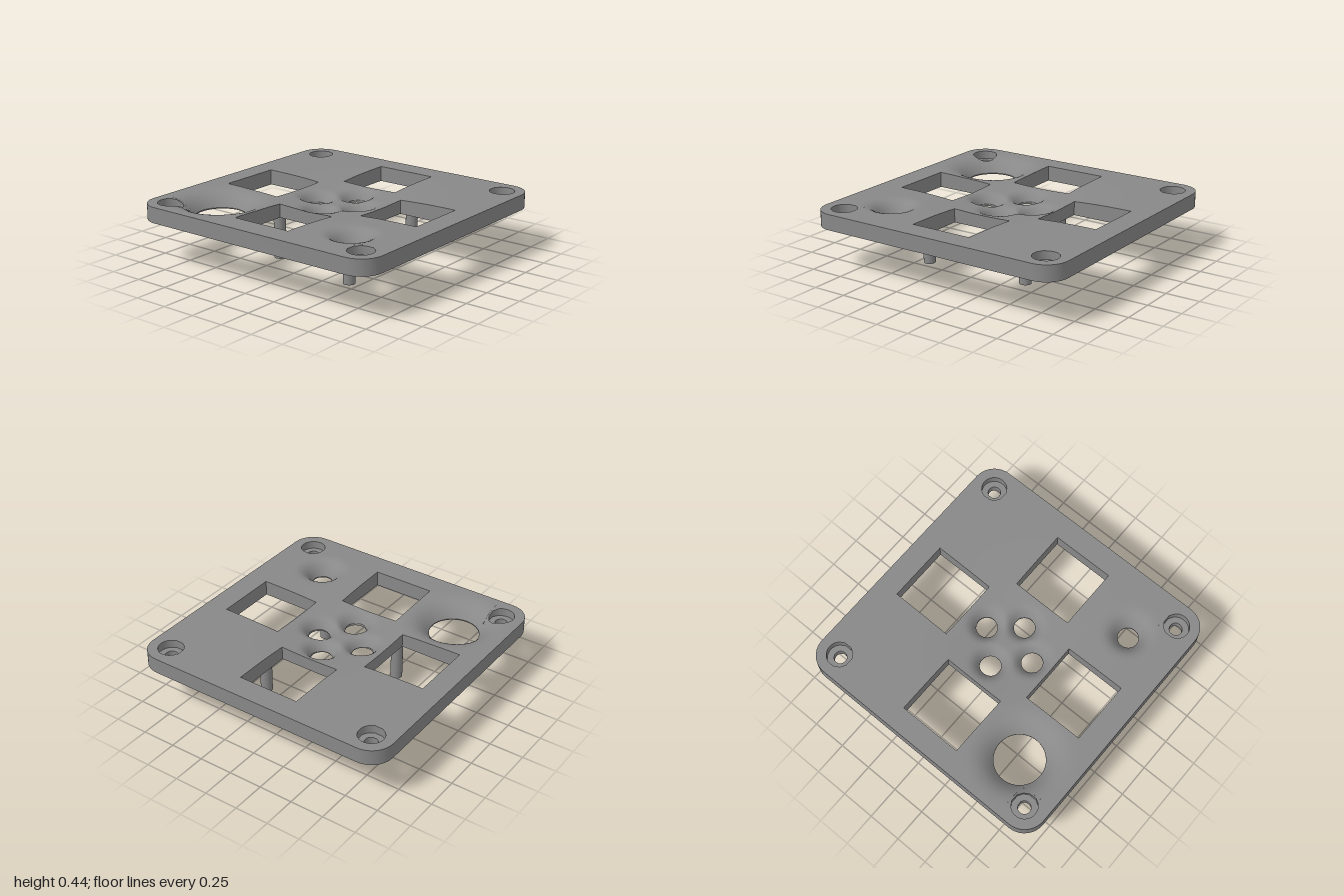
import * as THREE from 'three';
import { toCreasedNormals } from 'three/addons/utils/BufferGeometryUtils.js';

const BASE = 0.32, TOP = 0.435, FLOOR = 0.375;

// Flared round holes: centre, radius, width and depth of the flare
const bigHole = { x: -0.59, z: -0.59, r: 0.18, w: 0.23, d: 0.107 };
const smallHole = { x: -0.61, z: 0.585, r: 0.075, w: 0.16, d: 0.107 };
const middle = (x, z) => ({ x, z, r: 0.076, w: 0.11, d: 0.066 });
const middleHoles = [middle(0, -0.2), middle(0.207, 0.005), middle(0, 0.175), middle(-0.21, 0.005)];
const flares = [bigHole, smallHole, ...middleHoles];

// Height of the top: a shallow bowl in the middle plus a flare around each hole
function height(x, z) {
  let y = TOP - 0.05 * Math.exp(-(x * x + z * z) / 0.16);
  for (const h of flares) {
    const t = Math.max(0, Math.hypot(x - h.x, z - h.z) - h.r) / h.w;
    if (t < 1) y -= h.d * (1 - t) ** 3;
  }
  return y;
}

// Splits each polygon edge into n steps, ordered from +x towards +z
function densify(poly, n) {
  let area = 0;
  poly.forEach(([x, z], i) => {
    const [u, v] = poly[(i + 1) % poly.length];
    area += x * v - u * z;
  });
  const p = area < 0 ? [...poly].reverse() : poly;
  return p.flatMap(([x, z], i) => {
    const [u, v] = p[(i + 1) % p.length];
    return Array.from({ length: n }, (_, k) => [x + (u - x) * k / n, z + (v - z) * k / n]);
  });
}

const rect = (x0, x1, z0, z1) => [[x0, z0], [x1, z0], [x1, z1], [x0, z1]];
const lift = (loop, y) => loop.map(([x, z]) => [x, typeof y === 'function' ? y(x, z) : y, z]);

// Circle points lying towards each point of an outer loop
const circleTowards = (outer, cx, cz, r) => outer.map(([x, z]) => {
  const l = Math.hypot(x - cx, z - cz);
  return [cx + (x - cx) * r / l, cz + (z - cz) * r / l];
});

// Skins a list of closed loops of equal length
function skin(loops) {
  const n = loops[0].length, index = [];
  for (let j = 0; j < loops.length - 1; j++) {
    for (let i = 0; i < n; i++) {
      const a = j * n + i, b = j * n + (i + 1) % n;
      index.push(a, b, a + n, b, b + n, a + n);
    }
  }
  const g = new THREE.BufferGeometry();
  g.setAttribute('position', new THREE.Float32BufferAttribute(loops.flat(2), 3));
  g.setIndex(index);
  return g;
}

export function createModel() {
  const group = new THREE.Group();
  const grey = new THREE.MeshStandardMaterial({ color: 0x888888 });
  grey.name = 'grey';
  const bottomHoles = [];

  function add(name, geometry) {
    const mesh = new THREE.Mesh(geometry, grey);
    mesh.name = name;
    group.add(mesh);
    return mesh;
  }
  const wall = (name, lower, upper) => add(name, toCreasedNormals(skin([lower, upper]), 0.6));

  // Top surface between a hole and the border of its tile
  function topTile(name, inner, outer, rings = 14) {
    const loops = [];
    for (let j = 0; j <= rings; j++) {
      const t = (j / rings) ** 1.6;
      loops.push(lift(inner.map(([x, z], i) =>
        [x + (outer[i][0] - x) * t, z + (outer[i][1] - z) * t]), height));
    }
    const g = skin(loops), p = g.attributes.position, normals = [], e = 0.002;
    for (let i = 0; i < p.count; i++) {
      const x = p.getX(i), z = p.getZ(i);
      const n = new THREE.Vector3(height(x - e, z) - height(x + e, z), 2 * e,
        height(x, z - e) - height(x, z + e)).normalize();
      normals.push(n.x, n.y, n.z);
    }
    g.setAttribute('normal', new THREE.Float32BufferAttribute(normals, 3));
    add(name, g);
  }

  // Tile with a hole right through the plate
  function holeTile(name, inner, outer) {
    topTile(name + 'Top', inner, outer);
    wall(name + 'Wall', lift(inner, BASE), lift(inner, height));
    bottomHoles.push(inner);
  }
  function roundTile(name, h, poly) {
    const outer = densify(poly, 16);
    holeTile(name, circleTowards(outer, h.x, h.z, h.r), outer);
  }

  // Four round holes in the middle, one per triangle
  const c = 0.3, square = rect(-c, c, -c, c);
  middleHoles.forEach((h, i) =>
    roundTile('middleHole', h, [[0, 0], square[i], square[(i + 1) % 4]]));

  // Four square windows
  const windows = [
    [rect(-0.24, 0.235, -0.84, -0.375), rect(-c, c, -1, -c)],
    [rect(-0.23, 0.235, 0.37, 0.83), rect(-c, c, c, 1)],
    [rect(-0.82, -0.36, -0.24, 0.225), rect(-1, -c, -c, c)],
    [rect(0.37, 0.83, -0.24, 0.225), rect(c, 1, -c, c)],
  ];
  for (const [hole, tile] of windows) holeTile('window', densify(hole, 16), densify(tile, 16));

  // Corner quarters: L-shaped tile plus rounded tile with a counterbored screw hole
  const k = 0.735, R = 0.165, arc = [];
  for (let i = 0; i <= 10; i++) {
    const a = i / 10 * Math.PI / 2;
    arc.push([1 - R + R * Math.cos(a), 1 - R + R * Math.sin(a)]);
  }
  for (const sx of [-1, 1]) {
    for (const sz of [-1, 1]) {
      const place = (pts) => pts.map(([x, z]) => [x * sx, z * sz]);
      const ell = place([[c, c], [1, c], [1, k], [k, k], [k, 1], [c, 1]]);
      if (sx < 0) {
        roundTile(sz < 0 ? 'bigHole' : 'smallHole', sz < 0 ? bigHole : smallHole, ell);
      } else {
        const outer = densify(ell, 16);
        topTile('plainCorner', outer.map(() => [0.6, 0.6 * sz]), outer);
      }
      const outer = densify(place([[k, k], [1, k], ...arc, [k, 1]]), 4);
      const [x, z] = [0.835 * sx, 0.835 * sz];
      const recess = circleTowards(outer, x, z, 0.092);
      const bore = circleTowards(outer, x, z, 0.046);
      topTile('cornerTop', recess, outer, 4);
      wall('counterboreWall', lift(recess, FLOOR), lift(recess, height));
      wall('counterboreFloor', lift(bore, FLOOR), lift(recess, FLOOR));
      wall('screwHoleWall', lift(bore, BASE), lift(bore, FLOOR));
      bottomHoles.push(bore);
    }
  }

  // Outer rim and underside
  const rim = [[1, 1], [-1, 1], [-1, -1], [1, -1]].flatMap(([sx, sz]) => {
    const pts = arc.map(([x, z]) => [x * sx, z * sz]);
    return sx * sz < 0 ? pts.reverse() : pts;
  });
  wall('rim', lift(rim, TOP), lift(rim, BASE));
  const toVectors = (loop) => loop.map(([x, z]) => new THREE.Vector2(x, z));
  const under = new THREE.Shape(toVectors(rim));
  under.holes = bottomHoles.map((loop) => new THREE.Path(toVectors(loop)));
  add('underside', new THREE.ShapeGeometry(under).rotateX(Math.PI / 2)).position.y = BASE;

  // Four legs
  for (const [x, z] of [[0.37, 0.375], [0.258, -0.23], [-0.3, -0.295], [-0.42, 0.42]]) {
    add('leg', new THREE.CylinderGeometry(0.043, 0.043, BASE, 32)).position.set(x, BASE / 2, z);
  }
  return group;
}
